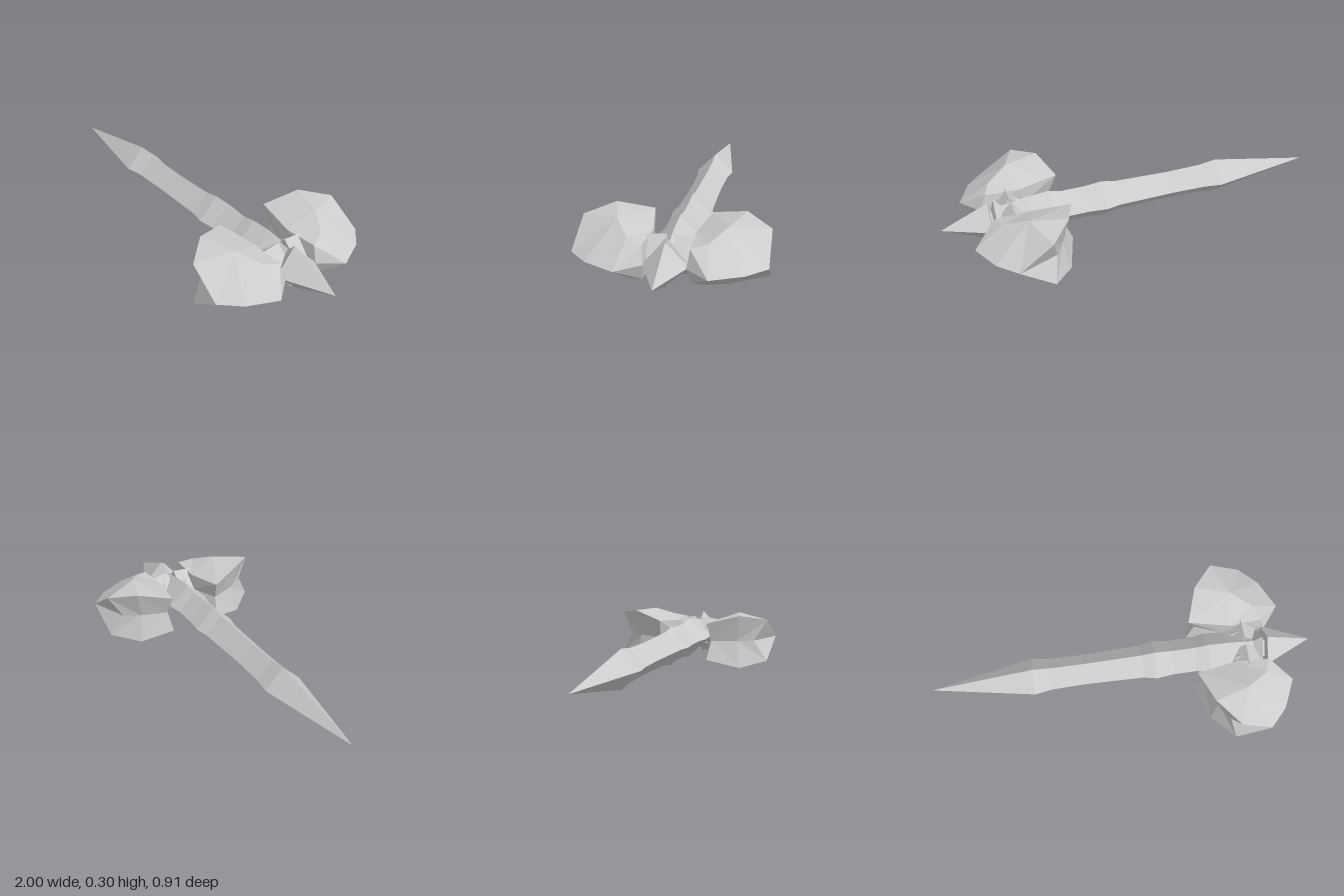
import * as THREE from 'three';

const MID = 0.147; // height of the shaft axis

export function createModel() {
  const model = new THREE.Group();
  const stone = new THREE.MeshStandardMaterial({ color: 0xcccccc, flatShading: true });
  stone.name = 'paleGrey';

  const add = (name, geometry) => {
    const mesh = new THREE.Mesh(geometry, stone);
    mesh.name = name;
    mesh.position.y = MID;
    model.add(mesh);
    return mesh;
  };

  // Four-sided spindle along x, from [x, radius] pairs
  const spindle = (name, profile) => {
    const g = new THREE.LatheGeometry(profile.map(([x, r]) => new THREE.Vector2(r, x)), 4);
    g.rotateZ(-Math.PI / 2);
    return add(name, g);
  };

  spindle('shaft', [
    [-1, 0], [-0.47, 0.1], [-0.38, 0.086], [-0.2, 0.082], [0.1, 0.09],
    [0.17, 0.105], [0.26, 0.095], [0.38, 0.095], [0.45, 0.11],
    [0.56, 0.1], [0.7, 0.075], [0.76, 0.06], [0.76, 0],
  ]);
  spindle('spikeTip', [[0.74, 0], [0.76, 0.108], [1, 0]]);
  spindle('spikeCollar', [[0.62, 0], [0.73, 0.122], [0.76, 0]]).scale.z = 0.8;

  // Upper half of one head, heights measured from the shaft axis
  const p = {
    rearOuter: [0.54, 0.118, 0.445], rearMid: [0.43, 0.148, 0.315], rearInner: [0.37, 0.103, 0.14],
    apex: [0.61, 0.143, 0.26],
    edge1: [0.71, 0, 0.453], edge2: [0.8, 0, 0.36], edge3: [0.87, 0, 0.21], edge4: [0.78, 0, 0.098],
    brow: [0.72, 0.1, 0.185], neckFront: [0.75, 0.083, 0.11],
    neckRear: [0.58, 0.083, 0.1], neckBase: [0.56, 0, 0.1],
    notch1: [0.51, 0, 0.375], notch2: [0.46, 0, 0.29], notch3: [0.41, 0, 0.155],
  };
  const faces = [
    // top facets
    'rearOuter rearMid apex', 'rearMid rearInner apex', 'rearInner neckRear apex',
    'neckRear brow apex', 'neckRear neckFront brow', 'rearOuter edge1 apex',
    'edge1 edge2 apex', 'edge2 edge3 apex', 'edge3 brow apex',
    // front and inner sides
    'edge3 edge4 neckFront', 'edge3 neckFront brow', 'neckRear neckFront edge4',
    'neckRear edge4 neckBase', 'rearInner neckRear neckBase', 'rearInner neckBase notch3',
    // notched back
    'rearOuter edge1 notch1', 'rearOuter notch1 notch2', 'rearOuter notch2 rearMid',
    'rearMid notch2 notch3', 'rearMid notch3 rearInner',
  ];

  const headGeometry = (side) => {
    const positions = [];
    const inside = new THREE.Vector3(0.65, 0.035, 0.25);
    for (const face of faces) {
      const tri = face.split(' ').map((k) => new THREE.Vector3(...p[k]));
      // turn every facet outward
      const normal = new THREE.Triangle(...tri).getNormal(new THREE.Vector3());
      if (normal.dot(tri[0].clone().sub(inside)) < 0) tri.reverse();
      for (const up of [1, -1]) {
        const order = up * side > 0 ? tri : [...tri].reverse();
        order.forEach((v) => positions.push(v.x, v.y * up, v.z * side));
      }
    }
    const g = new THREE.BufferGeometry();
    g.setAttribute('position', new THREE.Float32BufferAttribute(positions, 3));
    g.computeVertexNormals();
    return g;
  };

  for (const side of [1, -1]) {
    const label = side > 0 ? 'front' : 'back';
    add(label + 'Head', headGeometry(side));

    // Faceted joint between the shaft and the head
    const joint = new THREE.CylinderGeometry(0.085, 0.1, 0.14, 4);
    joint.rotateX(side * Math.PI / 2);
    add(label + 'Joint', joint).position.set(0.645, MID, side * 0.09);

    // Small crystals above and below the joint
    for (const up of [1, -1]) {
      const crystal = add(label + 'Crystal', new THREE.OctahedronGeometry(0.05));
      crystal.position.set(0.64, MID + up * 0.045, side * 0.065);
      crystal.scale.set(1.2, 0.8, 1);
    }
  }
  return model;
}
